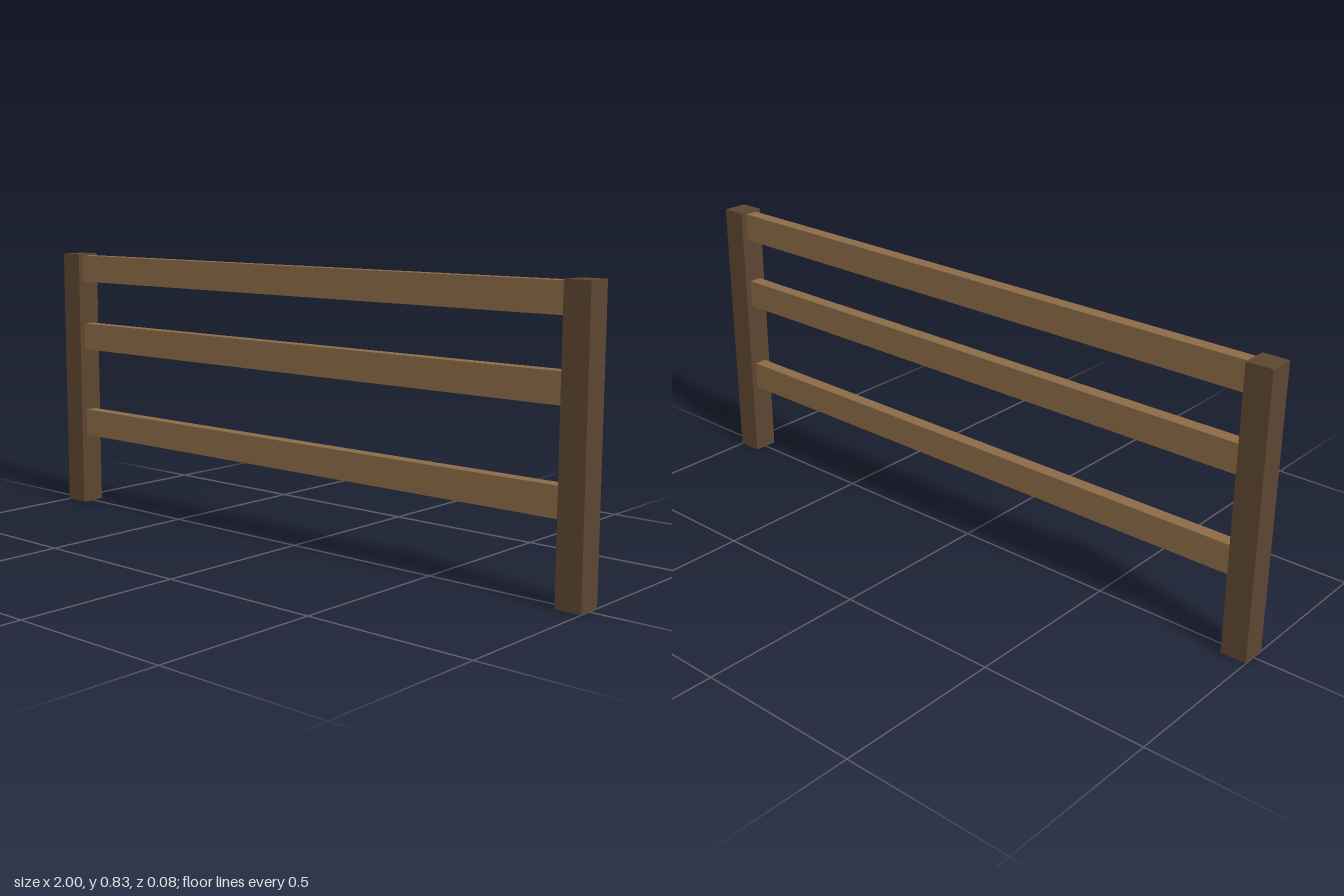
import * as THREE from 'three';

const POST = { width: 0.077, height: 0.833 };
const RAIL = { height: 0.086, depth: 0.04, centers: [0.271, 0.56, 0.785] };

function box(name, w, h, d, x, y, material) {
  const mesh = new THREE.Mesh(new THREE.BoxGeometry(w, h, d), material);
  mesh.name = name;
  mesh.position.set(x, y, 0);
  return mesh;
}

export function createModel() {
  const fence = new THREE.Group();
  fence.name = 'fence';
  const darkWood = new THREE.MeshStandardMaterial({ color: 0x5c4630 });
  const lightWood = new THREE.MeshStandardMaterial({ color: 0x8b6b47 });

  // Square end posts
  for (const [name, side] of [['leftPost', 1], ['rightPost', -1]]) {
    fence.add(box(name, POST.width, POST.height, POST.width,
      side * (1 - POST.width / 2), POST.height / 2, darkWood));
  }

  // Horizontal rails spanning between the inner faces of the posts
  const names = ['lowerRail', 'middleRail', 'upperRail'];
  RAIL.centers.forEach((y, i) => {
    fence.add(box(names[i], 2 - 2 * POST.width, RAIL.height, RAIL.depth, 0, y, lightWood));
  });

  return fence;
}
